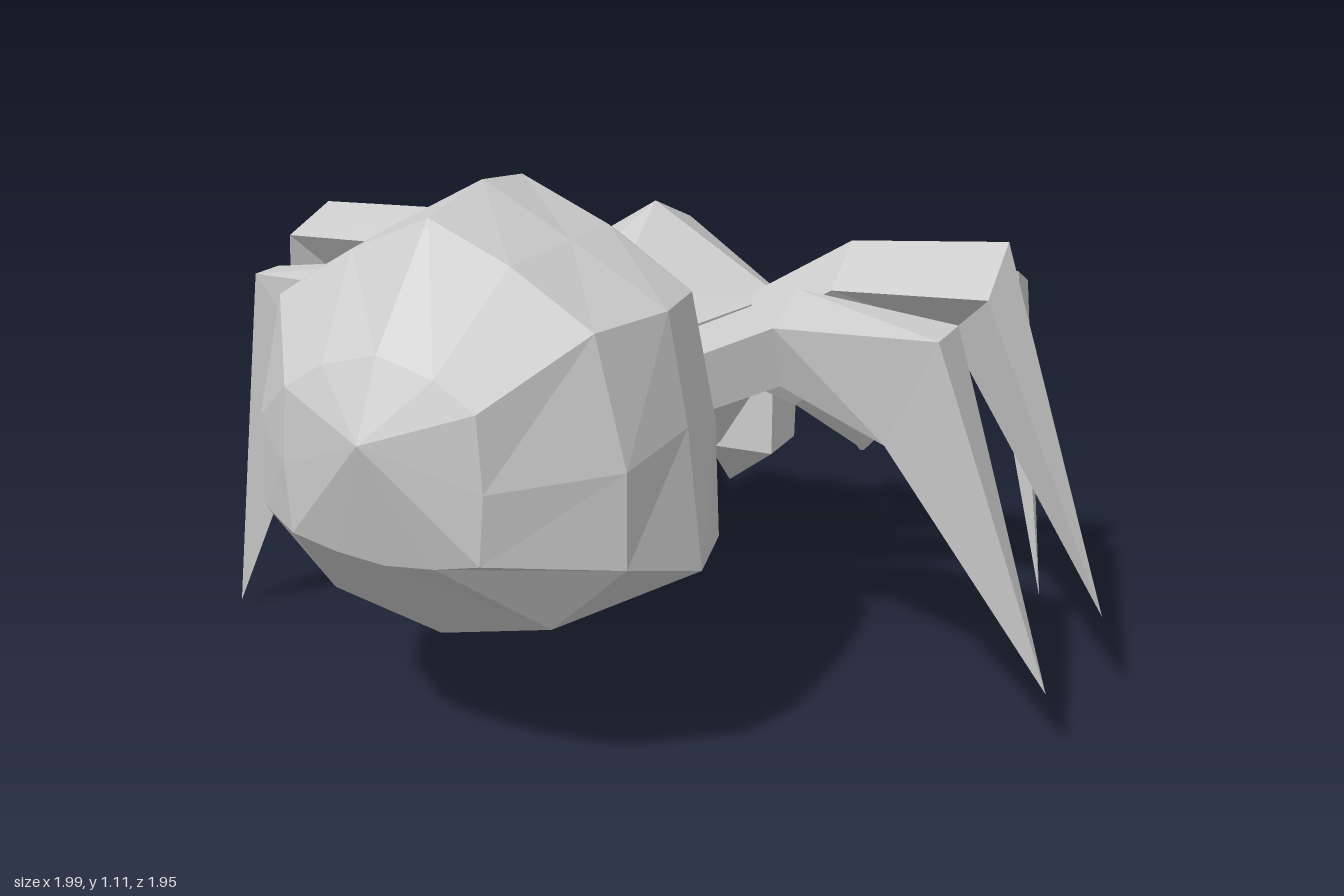
import * as THREE from 'three';

const CX = -0.06; // body axis
const material = new THREE.MeshStandardMaterial({
  color: 0xcccccc, flatShading: true, side: THREE.DoubleSide,
});

// Skins a list of closed rings ([x, y, z] points, equal counts) and caps both ends.
function loft(name, rings) {
  const pos = [];
  const tri = (a, b, c) => pos.push(...a, ...b, ...c);
  const n = rings[0].length;
  for (let r = 0; r < rings.length - 1; r++) {
    for (let i = 0; i < n; i++) {
      const j = (i + 1) % n;
      const [a, b, c, d] = [rings[r][i], rings[r][j], rings[r + 1][j], rings[r + 1][i]];
      tri(a, b, c);
      tri(a, c, d);
    }
  }
  const cap = (ring, flip) => {
    const mid = [0, 1, 2].map(k => ring.reduce((s, p) => s + p[k], 0) / n);
    ring.forEach((p, i) => {
      const q = ring[(i + 1) % n];
      if (flip) tri(mid, q, p); else tri(mid, p, q);
    });
  };
  cap(rings[0], true);
  cap(rings[rings.length - 1], false);

  // Turn the faces outward if the enclosed volume comes out negative.
  let volume = 0;
  const v = i => new THREE.Vector3().fromArray(pos, i);
  for (let i = 0; i < pos.length; i += 9) volume += v(i).dot(v(i + 3).cross(v(i + 6)));
  if (volume < 0) {
    for (let i = 0; i < pos.length; i += 9) {
      for (let k = 3; k < 6; k++) [pos[i + k], pos[i + k + 3]] = [pos[i + k + 3], pos[i + k]];
    }
  }
  const geometry = new THREE.BufferGeometry();
  geometry.setAttribute('position', new THREE.Float32BufferAttribute(pos, 3));
  geometry.computeVertexNormals();
  const mesh = new THREE.Mesh(geometry, material);
  mesh.name = name;
  return mesh;
}

// Mirrored ring at depth z from a half profile of [halfWidth, y], top to bottom.
function bodyRing(z, half) {
  const right = half.map(([w, y]) => [CX + w, y, z]);
  const left = half.slice(1, -1).reverse().map(([w, y]) => [CX - w, y, z]);
  return [...right, ...left];
}

// Three-sided tapered leg: hip, thigh, knee, pointed tip.
// Stations are [x, y, z, half width, -z edge drop, +z edge drop] plus the third
// edge as [inward shift, drop, z offset].
function leg(name, side, hipZ, thigh, knee, tip) {
  const ring = ([x, y, z, w, dropBack, dropFront, [shift, drop, dz]]) => [
    [x, y - dropBack, z - w],
    [x, y - dropFront, z + w],
    [x - side * shift, y - drop, z + dz],
  ];
  const hip = [CX + side * 0.15, 0.7, hipZ, ...thigh.slice(3)];
  return loft(name, [ring(hip), ring(thigh), ring(knee), [tip, tip, tip]]);
}

export function createModel() {
  const model = new THREE.Group();
  model.name = 'spider';

  // Abdomen, hollowed underneath towards the waist
  const tip = (y, z) => bodyRing(z, Array(7).fill([0, y]));
  model.add(loft('abdomen', [
    tip(0.79, 0.03),
    bodyRing(0.12, [[0, 0.87], [0.06, 0.86], [0.11, 0.8], [0.12, 0.7], [0.1, 0.62], [0.05, 0.6], [0, 0.6]]),
    bodyRing(0.24, [[0, 1.02], [0.14, 0.96], [0.25, 0.82], [0.27, 0.64], [0.27, 0.43], [0.15, 0.46], [0, 0.52]]),
    bodyRing(0.38, [[0, 1.09], [0.18, 1.01], [0.35, 0.9], [0.4, 0.66], [0.41, 0.43], [0.22, 0.36], [0, 0.36]]),
    bodyRing(0.53, [[0, 1.105], [0.18, 1.01], [0.37, 0.9], [0.41, 0.69], [0.44, 0.42], [0.25, 0.35], [0, 0.32]]),
    bodyRing(0.72, [[0, 1.07], [0.16, 1.0], [0.32, 0.9], [0.38, 0.66], [0.38, 0.48], [0.23, 0.34], [0, 0.29]]),
    bodyRing(0.9, [[0, 0.87], [0.11, 0.84], [0.19, 0.79], [0.2, 0.65], [0.19, 0.52], [0.1, 0.5], [0, 0.49]]),
    tip(0.73, 0.97),
  ]));

  // Head and thorax in one faceted shell
  model.add(loft('thorax', [
    bodyRing(0.2, [[0, 0.74], [0.12, 0.68], [0.17, 0.58], [0.1, 0.46], [0, 0.45]]),
    bodyRing(0, [[0, 0.77], [0.18, 0.72], [0.23, 0.58], [0.15, 0.38], [0, 0.36]]),
    bodyRing(-0.22, [[0, 0.93], [0.29, 0.75], [0.27, 0.58], [0.16, 0.4], [0, 0.37]]),
    bodyRing(-0.41, [[0, 0.86], [0.2, 0.72], [0.22, 0.58], [0.13, 0.42], [0, 0.4]]),
    bodyRing(-0.5, [[0, 0.79], [0.14, 0.68], [0.17, 0.58], [0.12, 0.46], [0, 0.45]]),
    bodyRing(-0.59, [[0, 0.63], [0.07, 0.62], [0.1, 0.57], [0.08, 0.51], [0, 0.5]]),
  ]));

  for (const side of [-1, 1]) {
    const label = side > 0 ? 'left' : 'right';
    const at = (d, y, z) => [CX + side * d, y, z];

    // Jaw block ending in a fang
    const jaw = (y, inner, outer, front, back) => [
      at(inner, y, front), at(outer, y, front), at(outer, y, back), at(inner, y, back),
    ];
    model.add(loft(label + 'Fang', [
      jaw(0.62, 0.07, 0.19, -0.62, -0.46),
      jaw(0.48, 0.04, 0.19, -0.62, -0.46),
      jaw(0.3, 0.03, 0.19, -0.61, -0.46),
      Array(4).fill(at(0.02, 0.16, -0.62)),
    ]));

    // Curved feeler: a four-sided diamond section swept along its bends
    const feeler = (d, y, z, w, h) => [
      at(d, y + h, z - h * 0.5), at(d + w, y, z), at(d, y - h, z + h * 0.5), at(d - w, y, z),
    ];
    model.add(loft(label + 'Feeler', [
      feeler(0.18, 0.57, -0.38, 0.06, 0.07),
      feeler(0.25, 0.52, -0.5, 0.085, 0.09),
      feeler(0.335, 0.34, -0.75, 0.075, 0.085),
      feeler(0.27, 0.25, -0.9, 0.06, 0.055),
      feeler(0.22, 0.245, -0.96, 0.02, 0.035),
    ]));
  }

  // Three legs a side, each in its own pose
  const poses = [
    ['leftFrontLeg', 1, -0.35, [0.31, 0.78, -0.43, 0.055, 0.07, 0, [0, 0.17, 0.03]],
      [0.7, 0.81, -0.45, 0.045, 0.04, 0, [0.06, 0.14, 0.01]], [0.82, 0.14, -0.27]],
    ['leftMiddleLeg', 1, -0.13, [0.4, 0.89, -0.135, 0.06, 0, 0.08, [0, 0.2, -0.02]],
      [0.72, 0.91, -0.16, 0.07, 0, 0.09, [0.1, 0.19, -0.02]], [0.99, 0.2, -0.08]],
    ['leftBackLeg', 1, 0.06, [0.36, 0.83, 0.08, 0.065, 0, 0.05, [0, 0.18, 0.02]],
      [0.71, 0.81, 0.145, 0.065, 0, 0, [0.11, 0.23, 0.02]], [0.95, 0.15, 0.21]],
    ['rightFrontLeg', -1, -0.35, [-0.4, 0.78, -0.45, 0.055, 0.07, 0, [0, 0.17, 0.03]],
      [-0.77, 0.81, -0.43, 0.05, 0.04, 0, [0.06, 0.14, 0.01]], [-1, 0.19, -0.35]],
    ['rightMiddleLeg', -1, -0.13, [-0.56, 0.87, -0.14, 0.07, 0, 0.06, [0, 0.18, 0]],
      [-0.9, 0.86, -0.12, 0.08, 0, 0.05, [0.07, 0.15, 0]], [-0.99, 0.07, -0.12]],
    ['rightBackLeg', -1, 0.06, [-0.43, 0.82, 0.12, 0.07, 0, 0.05, [0, 0.18, 0.02]],
      [-0.77, 0.8, 0.23, 0.04, 0, 0, [0.14, 0.22, 0.01]], [-0.91, 0, 0.21]],
  ];
  for (const pose of poses) model.add(leg(...pose));
  return model;
}
